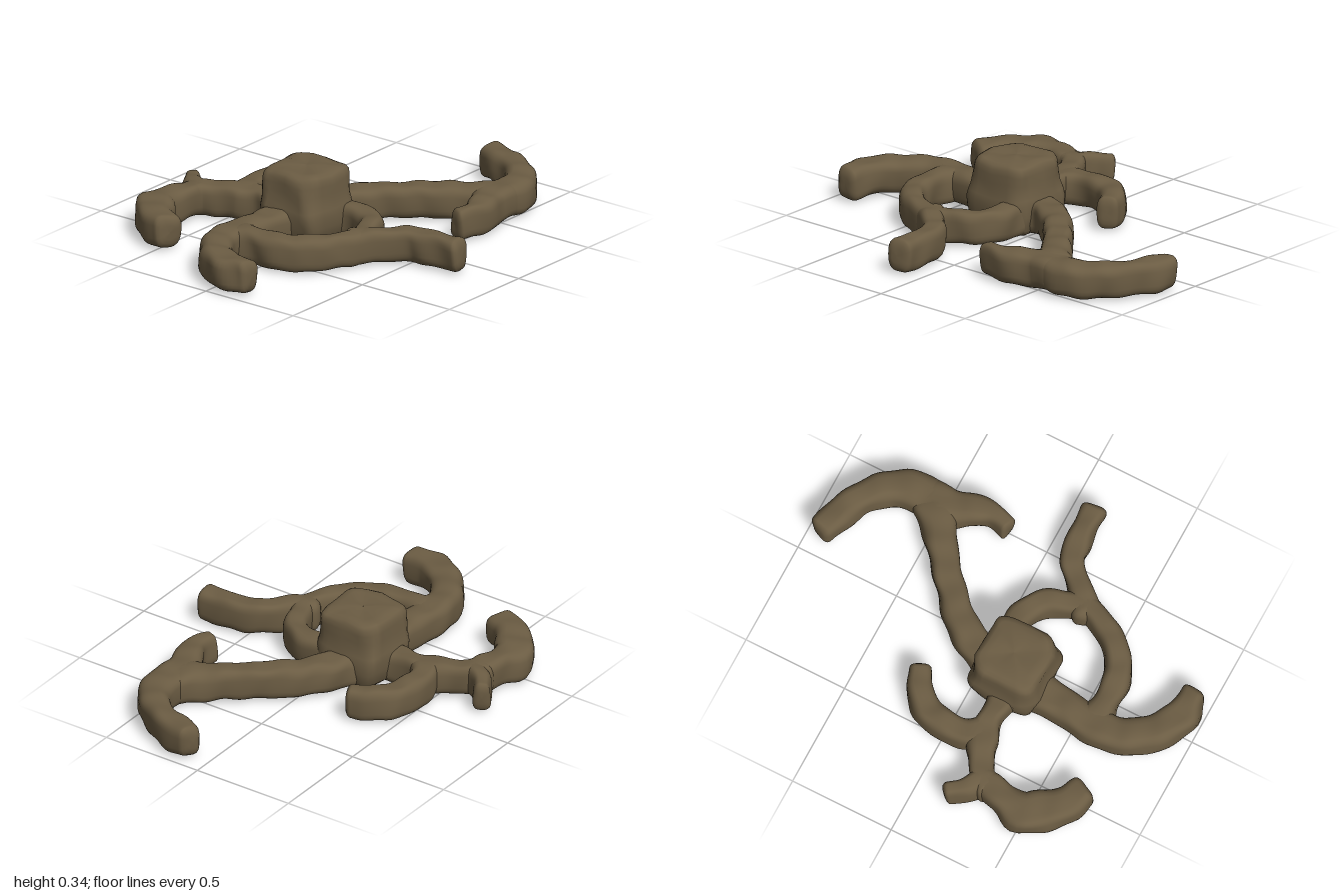
import * as THREE from 'three';

const SIDES = 28;
const bark = new THREE.MeshStandardMaterial({ color: 0x6b5c43 });
bark.name = 'bark brown';

// Point on a unit rounded square
function squircle(angle, power) {
  const c = Math.cos(angle), s = Math.sin(angle);
  return [
    Math.sign(c) * Math.pow(Math.abs(c), 2 / power),
    Math.sign(s) * Math.pow(Math.abs(s), 2 / power),
  ];
}

// Gentle knobbly displacement that depends only on position
function knobble(p, amount) {
  const { x, y, z } = p;
  p.x += amount * Math.sin(31 * z + 17 * y + 1) * Math.cos(19 * x);
  p.z += amount * Math.sin(29 * x + 15 * y + 2) * Math.cos(21 * z);
  p.y += amount * 0.8 * Math.sin(33 * x + 11 * z) * Math.cos(27 * z - 9 * x);
  return p;
}

// Skin a list of closed rings, each with SIDES points
function loft(rings, name) {
  const index = [];
  for (let i = 0; i < rings.length - 1; i++) {
    for (let j = 0; j < SIDES; j++) {
      const k = (j + 1) % SIDES;
      const a = i * SIDES + j, b = i * SIDES + k;
      index.push(a, b, a + SIDES, b, b + SIDES, a + SIDES);
    }
  }
  const geometry = new THREE.BufferGeometry().setFromPoints(rings.flat());
  geometry.setIndex(index);
  geometry.computeVertexNormals();
  const mesh = new THREE.Mesh(geometry, bark);
  mesh.name = name;
  return mesh;
}

// Root lying on the ground; every point is [x, z, half width]
function root(name, points) {
  const curve = new THREE.CatmullRomCurve3(
    points.map(([x, z, w]) => new THREE.Vector3(x, w, z)), false, 'centripetal');
  const steps = Math.max(16, Math.round(curve.getLength() / 0.018));
  const rings = [];
  const addRing = (t, push, scale) => {
    const c = curve.getPointAt(t);
    const dir = curve.getTangentAt(t).setY(0).normalize();
    const w = c.y;
    const height = 0.078 * Math.min(1, 0.75 + w * 4.5);
    const ring = [];
    for (let j = 0; j < SIDES; j++) {
      const [u, v] = squircle((j / SIDES) * Math.PI * 2, 3.3);
      const side = u * w * scale;
      ring.push(knobble(new THREE.Vector3(
        c.x + dir.z * side + dir.x * push * w,
        0.095 + v * height * scale,
        c.z - dir.x * side + dir.z * push * w), 0.007));
    }
    rings.push(ring);
  };
  // Rounded tip, body, rounded tip
  const caps = [0, 0.15, 0.35, 0.6, 0.8].map((f) => {
    const a = f * Math.PI / 2;
    return [0.55 * Math.cos(a), Math.max(0.001, Math.pow(Math.sin(a), 0.6))];
  });
  caps.forEach(([push, scale]) => addRing(0, -push, scale));
  for (let i = 0; i <= steps; i++) addRing(i / steps, 0, 1);
  caps.reverse().forEach(([push, scale]) => addRing(1, push, scale));
  return loft(rings, name);
}

// Square stump that flares into the roots; levels are [height, half width]
function stump() {
  const levels = [
    [0.015, 0.001], [0.015, 0.08], [0.018, 0.14], [0.04, 0.165], [0.1, 0.175],
    [0.15, 0.178], [0.18, 0.172], [0.21, 0.165], [0.25, 0.162], [0.29, 0.16],
    [0.315, 0.157], [0.332, 0.147], [0.341, 0.13], [0.344, 0.1], [0.343, 0.05], [0.342, 0.001],
  ];
  const rings = levels.map(([y, r]) => {
    const ring = [];
    for (let j = 0; j < SIDES; j++) {
      const [u, v] = squircle((j / SIDES) * Math.PI * 2, 4.5);
      ring.push(knobble(new THREE.Vector3(-0.153 + v * r, y, -0.098 + u * r), 0.007));
    }
    return ring;
  });
  return loft(rings, 'stump');
}

export function createModel() {
  const group = new THREE.Group();
  group.name = 'stumpWithRoots';
  group.add(
    stump(),
    // Back roots
    root('backRoot', [
      [-0.16, -0.18, 0.09], [-0.165, -0.27, 0.065], [-0.165, -0.35, 0.052], [-0.175, -0.45, 0.075],
      [-0.22, -0.54, 0.055], [-0.26, -0.62, 0.055], [-0.31, -0.65, 0.06]]),
    root('backLeftBranch', [
      [-0.24, -0.63, 0.045], [-0.32, -0.645, 0.06], [-0.41, -0.665, 0.075], [-0.5, -0.68, 0.088],
      [-0.58, -0.63, 0.088], [-0.66, -0.55, 0.078], [-0.69, -0.475, 0.066]]),
    root('backTwig', [
      [-0.28, -0.61, 0.06], [-0.235, -0.68, 0.05], [-0.2, -0.72, 0.042], [-0.16, -0.75, 0.04]]),
    root('backRightBranch', [
      [-0.18, -0.42, 0.07], [-0.1, -0.465, 0.064], [0.0, -0.475, 0.06], [0.1, -0.45, 0.064],
      [0.18, -0.38, 0.062], [0.225, -0.295, 0.048]]),
    // Left-hand curl and the looping root beneath it
    root('sideRoot', [
      [-0.24, -0.13, 0.1], [-0.35, -0.14, 0.085], [-0.46, -0.15, 0.078], [-0.58, -0.165, 0.08],
      [-0.72, -0.15, 0.077], [-0.84, -0.07, 0.078], [-0.915, 0.05, 0.075], [-0.915, 0.165, 0.062]]),
    root('loopRoot', [
      [-0.58, -0.13, 0.085], [-0.585, -0.03, 0.06], [-0.575, 0.09, 0.06], [-0.52, 0.19, 0.06],
      [-0.43, 0.265, 0.055], [-0.31, 0.315, 0.055], [-0.2, 0.29, 0.055], [-0.1, 0.23, 0.056],
      [-0.055, 0.14, 0.056], [-0.055, 0.05, 0.065], [-0.08, -0.02, 0.08]]),
    root('frontTail', [
      [-0.31, 0.3, 0.075], [-0.25, 0.365, 0.06], [-0.18, 0.43, 0.052], [-0.13, 0.5, 0.055],
      [-0.115, 0.6, 0.057], [-0.11, 0.735, 0.057]]),
    // Long root with its two-armed end
    root('longRoot', [
      [-0.05, -0.1, 0.11], [0.06, -0.07, 0.08], [0.17, 0.0, 0.072], [0.28, 0.11, 0.064],
      [0.38, 0.23, 0.064], [0.45, 0.33, 0.075], [0.53, 0.43, 0.1]]),
    root('shortArm', [
      [0.2, 0.495, 0.042], [0.29, 0.515, 0.052], [0.38, 0.495, 0.066], [0.47, 0.455, 0.085],
      [0.57, 0.45, 0.09]]),
    root('longArm', [
      [0.5, 0.42, 0.085], [0.57, 0.45, 0.088], [0.65, 0.455, 0.088], [0.74, 0.42, 0.076],
      [0.83, 0.33, 0.068], [0.89, 0.22, 0.068], [0.925, 0.105, 0.06]]),
  );
  return group;
}
